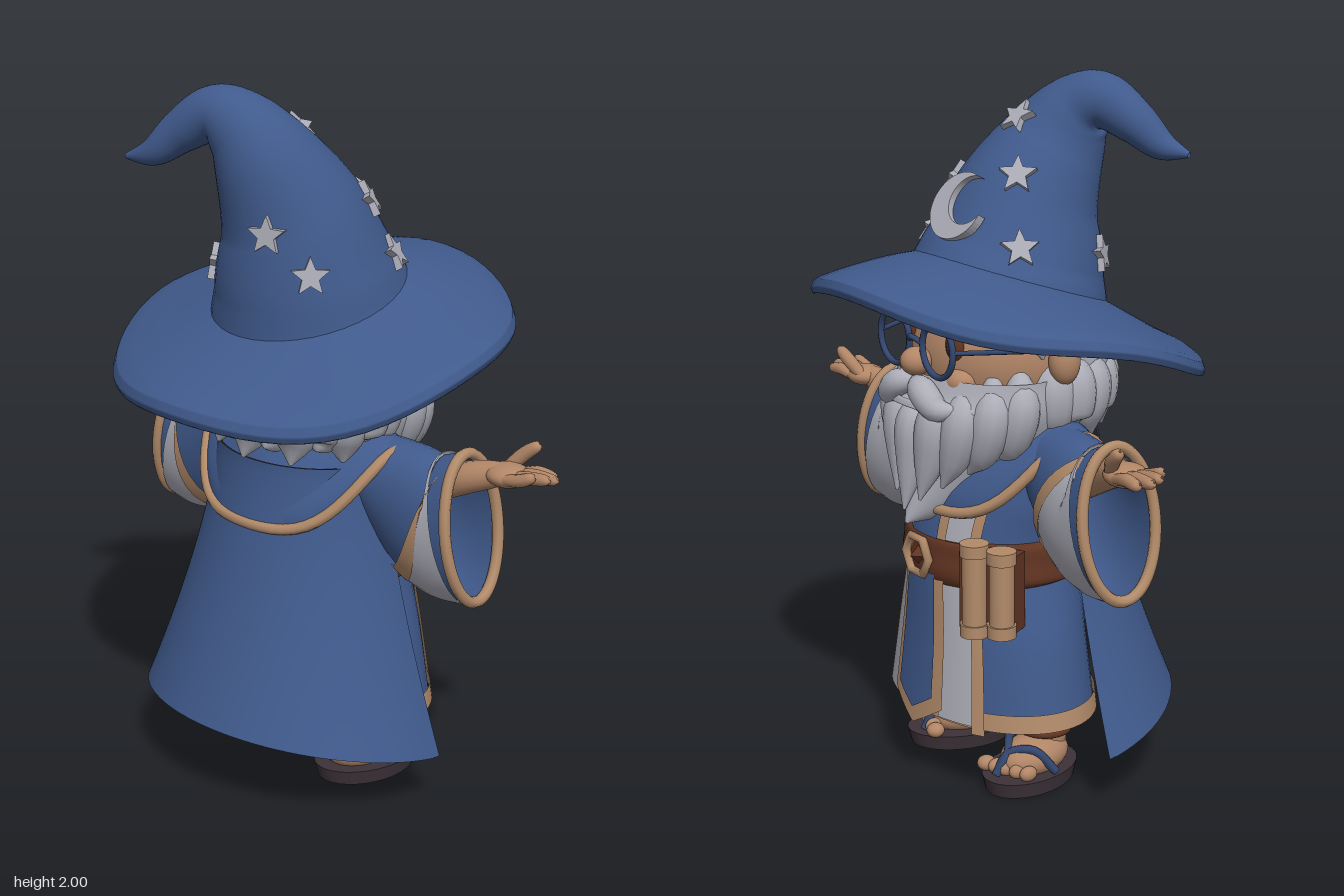
import * as THREE from 'three';
import { ParametricGeometry } from 'three/addons/geometries/ParametricGeometry.js';

const V = (x, y, z) => new THREE.Vector3(x, y, z);
const paint = (name, color, side = THREE.FrontSide) => {
  const m = new THREE.MeshStandardMaterial({ color, side });
  m.name = name;
  return m;
};

// Surface swept along rows of [x, y, z, sideRadius, frontRadius]
function sweep(rows, ref = V(0, 0, 1)) {
  const path = new THREE.CatmullRomCurve3(rows.map(r => V(r[0], r[1], r[2])), false, 'catmullrom');
  const size = new THREE.CatmullRomCurve3(rows.map(r => V(r[3], r[4] ?? r[3], 0)), false, 'catmullrom');
  return (u, v, out) => {
    v = THREE.MathUtils.clamp(v, 0, 1);
    const c = path.getPoint(v), t = path.getTangent(v), r = size.getPoint(v), a = u * Math.PI * 2;
    const b = ref.clone().addScaledVector(t, -ref.dot(t)).normalize();
    const s = t.clone().cross(b);
    return out.copy(c).addScaledVector(s, Math.sin(a) * r.x).addScaledVector(b, Math.cos(a) * r.y);
  };
}

// Outward normal of a surface function
function normalOf(fn, u, v) {
  const e = 0.002, v0 = Math.min(v, 1 - e);
  const p = fn(u, v0, V()), du = fn(u + e, v0, V()).sub(p), dv = fn(u, v0 + e, V()).sub(p);
  return du.cross(dv).normalize();
}

// Part of a surface, raised by off; the limits along it may depend on the angle
const at = (limit, a) => (typeof limit === 'function' ? limit(a) : limit);
const patch = (fn, a0, a1, v0, v1, off) => (u, v, out) => {
  const a = a0 + (a1 - a0) * u, lo = at(v0, a);
  const w = lo + (at(v1, a) - lo) * v, t = a / (Math.PI * 2);
  return fn(t, w, out).addScaledVector(normalOf(fn, t, w), off);
};

export function createModel() {
  const root = new THREE.Group(), wizard = new THREE.Group();
  root.name = 'wizard';
  wizard.name = 'wizardBody';
  wizard.rotation.y = Math.PI / 2; // built facing local z, turned to face x
  root.add(wizard);

  const blue = paint('robeBlue', 0x405a8c, THREE.DoubleSide);
  const silver = paint('silverWhite', 0xaeaeb9, THREE.DoubleSide);
  const tan = paint('tanTrim', 0xb28b6a, THREE.DoubleSide);
  const skin = paint('skin', 0xb28667);
  const brown = paint('leatherBrown', 0x613422, THREE.DoubleSide);
  const dark = paint('darkCloth', 0x3c3238, THREE.DoubleSide);
  const navy = paint('glassesNavy', 0x33466f);

  const add = (name, geo, mat, x = 0, y = 0, z = 0) => {
    const m = new THREE.Mesh(geo, mat);
    m.name = name;
    m.position.set(x, y, z);
    wizard.add(m);
    return m;
  };
  const surf = (name, fn, mat, nu = 32, nv = 20) => add(name, new ParametricGeometry(fn, nu, nv), mat);
  const ball = (name, mat, x, y, z, rx, ry = rx, rz = rx) => {
    const m = add(name, new THREE.SphereGeometry(1, 28, 18), mat, x, y, z);
    m.scale.set(rx, ry, rz);
    return m;
  };
  const tube = (name, pts, r, mat, closed = false) => add(name, new THREE.TubeGeometry(
    new THREE.CatmullRomCurve3(pts.map(p => V(...p)), closed), closed ? 64 : 16, r, 8, closed), mat);

  // Hat crown with its bent tip
  const crown = sweep([[0, 1.41, 0, 0.285], [0, 1.5, -0.025, 0.255], [0.01, 1.65, -0.065, 0.205],
    [0.045, 1.8, -0.13, 0.148], [0.1, 1.89, -0.17, 0.105], [0.17, 1.918, -0.2, 0.078],
    [0.25, 1.87, -0.24, 0.06], [0.32, 1.81, -0.28, 0.04], [0.4, 1.79, -0.31, 0.008]]);
  surf('hatCrown', crown, blue, 40, 48);

  // Tilted drooping brim with a rounded rim
  const rim = [[0, -0.05], [0.5, -0.04], [0.9, -0.032], [0.98, -0.026], [1, -0.008],
    [0.97, 0.012], [0.9, 0.014], [0.5, 0.006], [0, 0]];
  surf('hatBrim', (u, v, out) => {
    const a = u * Math.PI * 2, i = Math.min(7, Math.floor(v * 8)), f = v * 8 - i;
    const s = rim[i][0] + (rim[i + 1][0] - rim[i][0]) * f, h = rim[i][1] + (rim[i + 1][1] - rim[i][1]) * f;
    const x = Math.sin(a) * (0.25 + 0.335 * s), z = Math.cos(a) * (0.25 + 0.28 * s);
    const wave = 0.035 * s * s * Math.sin(2 * a) ** 2;
    return out.set(x, 1.445 - 0.115 * s - wave + (0.31 - 0.07 * s) * z + h, z);
  }, blue, 64, 32);

  // Stars and moon raised on the crown
  const star = new THREE.Shape();
  for (let i = 0; i < 10; i++) {
    const r = i % 2 ? 0.024 : 0.054, a = i * Math.PI / 5;
    star[i ? 'lineTo' : 'moveTo'](Math.sin(a) * r, Math.cos(a) * r);
  }
  const moon = new THREE.Shape();
  moon.absarc(0, 0, 0.097, 1.25, 5.9, false);
  moon.absarc(0.035, 0.02, 0.07, 5.75, 1.45, true);
  const badge = (name, shape, deg, row) => {
    const u = deg / 360, v = row / 8, n = normalOf(crown, u, v);
    const m = add(name, new THREE.ExtrudeGeometry(shape, { depth: 0.026, bevelEnabled: false, curveSegments: 20 }), silver);
    m.position.copy(crown(u, v, V())).addScaledVector(n, -0.01);
    m.quaternion.setFromRotationMatrix(new THREE.Matrix4().lookAt(n, V(0, 0, 0), V(0, 1, 0)));
  };
  for (const [deg, row] of [[-12, 3.15], [35, 2.3], [-50, 1.9], [-58, 1.1], [56, 1.2],
    [126, 1.35], [-130, 1.45], [-155, 2.25]]) badge('hatStar', star, deg, row);
  badge('hatMoon', moon, 5, 1.62);

  // Head, ears, nose and cheeks
  ball('head', skin, 0, 1.24, 0.02, 0.265, 0.23, 0.255);
  ball('nose', skin, 0, 1.235, 0.3, 0.043, 0.04, 0.045);
  ball('hairBack', silver, 0, 1.23, -0.06, 0.272, 0.21, 0.235);
  for (const s of [-1, 1]) {
    ball('ear', skin, s * 0.285, 1.25, 0.01, 0.04, 0.065, 0.045);
    ball('cheek', skin, s * 0.11, 1.19, 0.23, 0.055, 0.04, 0.045);
    ball('eye', brown, s * 0.1, 1.285, 0.24, 0.036, 0.042, 0.02);
    ball('pupil', dark, s * 0.1, 1.285, 0.257, 0.014, 0.02, 0.006);
    surf('eyebrow', sweep([[s * 0.05, 1.35, 0.255, 0.005], [s * 0.1, 1.372, 0.255, 0.02],
      [s * 0.17, 1.36, 0.22, 0.02], [s * 0.22, 1.32, 0.18, 0.004]]), silver, 10, 12);
    surf('templeHair', sweep([[s * 0.22, 1.42, 0.1, 0.02], [s * 0.245, 1.37, 0.1, 0.05],
      [s * 0.26, 1.32, 0.08, 0.035], [s * 0.27, 1.26, 0.07, 0.004]]), silver, 12, 12);
    // Glasses
    add('glassesRim', new THREE.TorusGeometry(0.075, 0.009, 8, 32), navy, s * 0.108, 1.285, 0.3);
    tube('glassesArm', [[s * 0.183, 1.29, 0.3], [s * 0.26, 1.29, 0.15], [s * 0.28, 1.28, 0.02]], 0.007, navy);
    // Moustache
    surf('moustache', sweep([[0, 1.18, 0.3, 0.02], [s * 0.06, 1.165, 0.32, 0.04], [s * 0.12, 1.125, 0.31, 0.035],
      [s * 0.18, 1.13, 0.27, 0.004]]), silver, 14, 14);
  }
  tube('glassesBridge', [[-0.034, 1.29, 0.3], [0, 1.305, 0.315], [0.034, 1.29, 0.3]], 0.008, navy);

  // Beard with layered locks
  surf('beard', sweep([[0, 1.2, 0.09, 0.28, 0.2], [0, 1.1, 0.09, 0.28, 0.25], [0, 1, 0.12, 0.23, 0.24],
    [0, 0.9, 0.2, 0.13, 0.15], [0, 0.78, 0.34, 0.004, 0.004]]), silver, 32, 24);
  for (let i = -4; i <= 4; i++) {
    const a = i * 0.34, x = Math.sin(a), z = Math.cos(a), d = Math.abs(i) / 4;
    surf('beardLock', sweep([[x * 0.22, 1.13 + d * 0.1, 0.07 + z * 0.2, 0.02], [x * 0.25, 1.07 + d * 0.06, 0.08 + z * 0.22, 0.057],
      [x * 0.215, 0.96 + d * 0.06, 0.09 + z * 0.225, 0.047], [x * 0.18, 0.82 + d * 0.16, 0.11 + z * 0.235, 0.004]]), silver, 12, 14);
  }
  // Hair locks round the back and sides
  for (let i = 0; i < 13; i++) {
    const a = 1.35 + i * 0.3, x = Math.sin(a), z = Math.cos(a), drop = (i % 2) * 0.04;
    surf('hairLock', sweep([[x * 0.23, 1.27, z * 0.22 - 0.03, 0.02], [x * 0.24, 1.18, z * 0.21 - 0.03, 0.07],
      [x * 0.24, 1.08, z * 0.21 - 0.03, 0.06], [x * 0.25, 1.01 + drop, z * 0.24 - 0.03, 0.004]]), silver, 12, 12);
  }

  // Robe, with an apron a little longer than it for the coloured panels
  const upper = [[0, 0.45, 0.05, 0.315, 0.235], [0, 0.68, 0.04, 0.25, 0.23],
    [0, 0.85, 0.02, 0.27, 0.21], [0, 1, 0, 0.26, 0.18], [0, 1.1, -0.02, 0.13, 0.11]];
  const robe = sweep([[0, 0.22, 0.05, 0.36, 0.25], ...upper]);
  const apron = sweep([[0, 0.18, 0.05, 0.37, 0.262], ...upper]);
  surf('robe', robe, blue, 48, 32);
  surf('robeHem', patch(robe, -Math.PI, Math.PI, 0, 0.045, 0.008), tan, 64, 3);
  for (const s of [-1, 1]) {
    const strip = (name, a, b, v0, off, mat) =>
      surf(name, patch(apron, Math.min(s * a, s * b), Math.max(s * a, s * b), v0, 0.72, off), mat, 6, 24);
    strip('whitePanel', 0.27, 0.64, 0.035, 0.007, silver);
    strip('panelTrim', 0.62, 0.74, 0.02, 0.011, tan);
  }
  const point = k => a => k + Math.abs(a) * 0.16;
  surf('tabardTrim', patch(apron, -0.33, 0.33, point(0), 0.72, 0.016), tan, 16, 24);
  surf('tabard', patch(apron, -0.23, 0.23, point(0.035), 0.72, 0.022), blue, 16, 24);
  for (const s of [-1, 1]) ball('pantaloonLeg', silver, s * 0.145, 0.26, 0.04, 0.16, 0.105, 0.21);

  // Belt, buckle, pouch and scrolls
  surf('belt', sweep([[0, 0.61, 0.045, 0.25, 0.23], [0, 0.63, 0.045, 0.278, 0.255], [0, 0.68, 0.042, 0.274, 0.255],
    [0, 0.73, 0.04, 0.27, 0.25], [0, 0.745, 0.04, 0.24, 0.22]]), brown, 48, 16);
  add('buckle', new THREE.TorusGeometry(0.058, 0.013, 6, 6), tan, 0, 0.68, 0.305);
  add('buckleStud', new THREE.OctahedronGeometry(0.028), brown, 0, 0.68, 0.3);
  add('pouch', new THREE.BoxGeometry(0.16, 0.22, 0.08), brown, 0.225, 0.625, 0.205).rotation.y = 0.5;
  for (const [x, z, h] of [[0.22, 0.26, 0.23], [0.292, 0.22, 0.21]]) {
    add('scroll', new THREE.CylinderGeometry(0.035, 0.035, h, 16), tan, x, 0.635, z);
    for (const e of [-1, 1]) add('scrollEnd', new THREE.CylinderGeometry(0.041, 0.041, 0.035, 16), tan, x, 0.635 + e * h / 2, z);
  }

  // Shoulder mantle with trim
  const edge = a => [0.335 * Math.sin(a), 0.82 + 0.23 * Math.sin(a) ** 4, 0.27 * Math.cos(a)];
  surf('mantle', (u, v, out) => {
    const [x, y, z] = edge(u * Math.PI * 2), k = 1 - 0.62 * v;
    return out.set(x * k, y + (1.11 - y) * v ** 0.6, z * k);
  }, blue, 48, 16);
  tube('mantleTrim', Array.from({ length: 32 }, (_, i) => edge(i * Math.PI / 16)), 0.016, tan, true);

  // Cape and its dark lining
  const cape = (span, k, v0) => (u, t, out) => {
    const v = v0 + (1 - v0) * t, a = span * (1 - 2 * u), w = (1 - v) ** 1.4, c = Math.cos(a);
    const low = 0.17 + 0.1 * Math.max(0, c);
    return out.set(Math.sin(a) * (0.28 + 0.22 * w) * k, low + (1 - low) * v, (-c * (0.235 + 0.22 * w) - 0.01) * k);
  };
  surf('cape', cape(1.6, 1, 0), blue, 48, 24);
  surf('capeLining', cape(1.1, 0.98, 0.15), dark, 40, 24);

  for (const s of [-1, 1]) {
    // Bell sleeve; the white band is broad in front and narrow behind
    const sleeve = sweep([[s * 0.2, 0.99, 0, 0.09, 0.1], [s * 0.34, 0.92, 0.02, 0.16, 0.11],
      [s * 0.46, 0.857, 0.03, 0.197, 0.115], [s * 0.565, 0.872, 0.035, 0.207, 0.115]]);
    const band = k => a => k + 0.12 * (1 - Math.cos(a));
    surf('sleeve', sleeve, blue, 32, 20);
    surf('sleeveBand', patch(sleeve, -Math.PI, Math.PI, band(0.45), 0.87, 0.009), silver, 32, 14);
    surf('sleeveStripe', patch(sleeve, -Math.PI, Math.PI, band(0.38), band(0.46), 0.012), tan, 32, 5);
    tube('cuffTrim', Array.from({ length: 24 }, (_, i) => sleeve(i / 24, 1, V()).toArray()), 0.016, tan, true);

    // Arm, open hand, fingers and thumb
    surf('forearm', sweep([[s * 0.42, 0.94, 0.035, 0.035], [s * 0.52, 1, 0.045, 0.044], [s * 0.61, 1.03, 0.07, 0.036],
      [s * 0.66, 1.04, 0.08, 0.02]]), skin, 14, 12);
    ball('palm', skin, s * 0.645, 1.035, 0.08, 0.062, 0.032, 0.058);
    for (let i = 0; i < 4; i++) {
      const z = 0.04 + i * 0.028, l = [0.76, 0.785, 0.79, 0.77][i];
      surf('finger', sweep([[s * 0.66, 1.035, z, 0.014], [s * 0.71, 1.045, z + 0.004, 0.018],
        [s * (l - 0.015), 1.06 - i * 0.006, z + 0.008, 0.015], [s * l, 1.068 - i * 0.006, z + 0.008, 0.003]]), skin, 10, 10);
    }
    surf('thumb', sweep([[s * 0.62, 1.04, 0.11, 0.017], [s * 0.655, 1.08, 0.13, 0.02],
      [s * 0.69, 1.11, 0.14, 0.016], [s * 0.7, 1.12, 0.142, 0.003]]), skin, 10, 10);

    // Leg, foot, toes and sandal
    const x = s * 0.18;
    add('ankle', new THREE.CylinderGeometry(0.07, 0.062, 0.16, 18), skin, x - s * 0.02, 0.16, -0.02);
    const sole = add('sandalSole', new THREE.CylinderGeometry(1, 0.93, 0.045, 32), dark, x, 0.0225, 0.045);
    sole.scale.set(0.112, 1, 0.165);
    sole.rotation.y = s * 0.25;
    ball('foot', skin, x, 0.075, 0.03, 0.08, 0.06, 0.12).rotation.y = s * 0.25;
    for (let i = 0; i < 5; i++) {
      ball('toe', skin, x + s * (-0.045 + i * 0.032), 0.062, 0.165 - i * 0.014, i ? 0.019 : 0.026, 0.022, 0.027);
    }
    for (const e of [-1, 1]) tube('sandalStrap', [[x + e * 0.095, 0.05, 0.02], [x + e * 0.06, 0.115, 0.075],
      [x + s * 0.01, 0.1, 0.13], [x + s * 0.01, 0.045, 0.17]], 0.013, navy);
    tube('ankleStrap', Array.from({ length: 12 }, (_, i) => [x - s * 0.02 + 0.07 * Math.sin(i * Math.PI / 6),
      0.14, -0.02 + 0.07 * Math.cos(i * Math.PI / 6)]), 0.011, brown, true);
  }
  return root;
}
